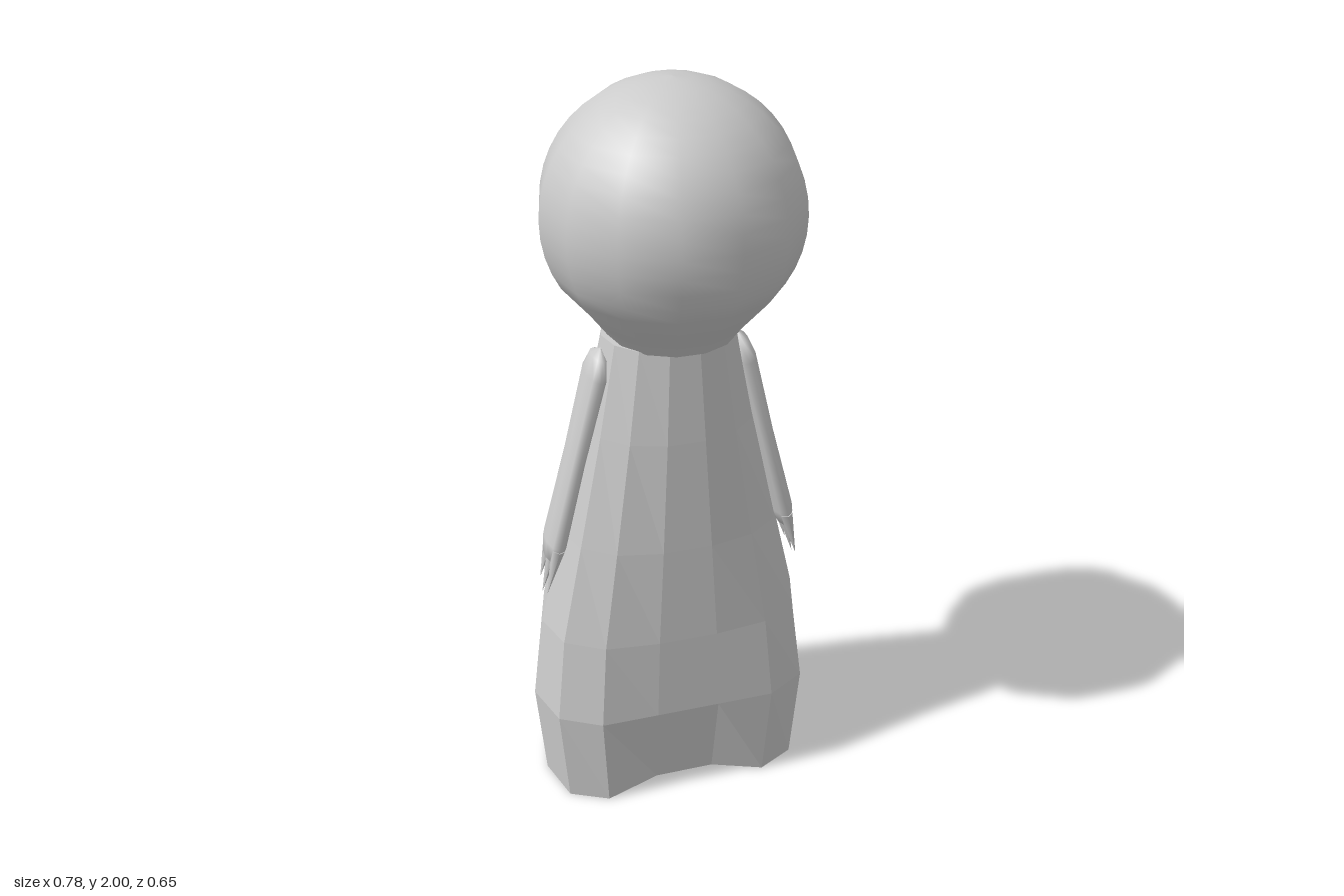
import * as THREE from 'three';

const SIDES = 14;
const HEAD = new THREE.Vector3(0.01, 1.67, 0);
const HEAD_R = 0.33;

const smooth = new THREE.MeshStandardMaterial({ color: 0xcccccc });
const flat = new THREE.MeshStandardMaterial({ color: 0xcccccc, flatShading: true });
const thin = new THREE.MeshStandardMaterial({ color: 0xcccccc, side: THREE.DoubleSide });

function part(name, geometry, material) {
  const mesh = new THREE.Mesh(geometry, material);
  mesh.name = name;
  return mesh;
}

// Tapering robe: stacked 14-sided rings, boxier and dented in front near the hem
function robeGeometry() {
  // y, half width, front depth, back depth, front dent
  const rings = [
    [0.0, 0.365, 0.21, 0.27, 0.78],
    [0.28, 0.39, 0.23, 0.28, 0.87],
    [0.52, 0.36, 0.21, 0.28, 0.93],
    [0.8, 0.295, 0.19, 0.235, 0.97],
    [1.11, 0.225, 0.168, 0.175, 1],
    [1.36, 0.175, 0.15, 0.135, 1],
  ];
  const pos = [], idx = [];
  rings.forEach(([y, w, front, back, dent], j) => {
    const k = j / (rings.length - 1);
    for (let i = 0; i < SIDES; i++) {
      const a = (i / SIDES) * Math.PI * 2, s = Math.sin(a);
      const centre = s > 0.9;
      const power = THREE.MathUtils.lerp(s > 0 ? 0.55 : 0.8, 1, k);
      let z = Math.sign(s) * Math.abs(s) ** power * (s > 0 ? front : back);
      if (centre) z *= dent;
      pos.push(w * Math.cos(a), j === 0 && centre ? 0.03 : y, z);
    }
  });
  for (let j = 0; j < rings.length - 1; j++) {
    for (let i = 0; i < SIDES; i++) {
      const n = (i + 1) % SIDES, a = j * SIDES + i, b = j * SIDES + n;
      idx.push(a, a + SIDES, b + SIDES, a, b + SIDES, b);
    }
  }
  // end caps
  const low = pos.length / 3, last = (rings.length - 1) * SIDES;
  pos.push(0, 0, 0, 0, 1.36, 0);
  for (let i = 0; i < SIDES; i++) {
    const n = (i + 1) % SIDES;
    idx.push(low, i, n, low + 1, last + n, last + i);
  }
  const g = new THREE.BufferGeometry();
  g.setAttribute('position', new THREE.Float32BufferAttribute(pos, 3));
  g.setIndex(idx);
  g.computeVertexNormals();
  return g;
}

// Round head that runs down into a short flared neck
function headGeometry() {
  const profile = [new THREE.Vector2(0.165, 1.355 - HEAD.y), new THREE.Vector2(0.21, 1.415 - HEAD.y)];
  const start = -0.69, steps = 16;
  for (let i = 1; i <= steps; i++) {
    const t = THREE.MathUtils.lerp(start, Math.PI / 2, i / steps);
    profile.push(new THREE.Vector2(Math.max(0, HEAD_R * Math.cos(t)), HEAD_R * Math.sin(t)));
  }
  return new THREE.LatheGeometry(profile, SIDES, Math.PI / 2);
}

// Smile: a crescent sheet wrapped over the head, its rim sunk into the surface
function mouthGeometry() {
  const g = new THREE.PlaneGeometry(2, 1, 20, 6);
  const p = g.attributes.position;
  for (let i = 0; i < p.count; i++) {
    const u = p.getX(i), v = p.getY(i) + 0.5;
    const top = -0.075 + 0.03 * u * u;
    const bottom = -0.205 + 0.16 * (1 - Math.sqrt(1 - u * u));
    const x = -0.19 * u, y = THREE.MathUtils.lerp(bottom, top, v);
    const rim = Math.abs(u) > 0.99 || v < 0.01 || v > 0.99;
    const r = rim ? 0.318 : 0.338;
    p.setXYZ(i, x, y, -Math.sqrt(r * r - x * x - y * y));
  }
  g.computeVertexNormals();
  return g;
}

// Flattened arm hanging along the robe, ending in three pointed fingers
function makeArm(side) {
  const arm = new THREE.Group();
  arm.name = side > 0 ? 'leftArm' : 'rightArm';
  const profile = [[0, -0.3], [0.045, -0.3], [0.066, -0.25], [0.06, 0], [0.066, 0.24], [0.045, 0.29], [0, 0.31]]
    .map(([r, y]) => new THREE.Vector2(r, y));
  const sleeve = part('sleeve', new THREE.LatheGeometry(profile, 10), smooth);
  sleeve.scale.x = 0.45;
  arm.add(sleeve);
  for (const [z, length] of [[0.042, 0.14], [0, 0.16], [-0.045, 0.14]]) {
    const finger = part('finger', new THREE.ConeGeometry(0.023, length, 6), smooth);
    finger.rotation.x = Math.PI;
    finger.position.set(0, -0.26 - length / 2, z);
    finger.scale.x = 0.8;
    arm.add(finger);
  }
  arm.position.set(side * 0.255, 1.03, 0.01);
  arm.rotation.z = side * 0.245;
  return arm;
}

export function createModel() {
  const model = new THREE.Group();
  model.name = 'figure';
  model.add(part('robe', robeGeometry(), flat));

  const head = new THREE.Group();
  head.name = 'head';
  head.position.copy(HEAD);
  head.add(part('skull', headGeometry(), smooth), part('mouth', mouthGeometry(), thin));

  // Lens-shaped eyes lying on the head
  for (const side of [-1, 1]) {
    const eye = part(side > 0 ? 'leftEye' : 'rightEye', new THREE.SphereGeometry(0.085, 20, 12), smooth);
    const out = new THREE.Vector3(side * 0.165, 0.085, -0.26).normalize();
    eye.position.copy(out).multiplyScalar(0.317);
    eye.quaternion.setFromUnitVectors(new THREE.Vector3(0, 0, -1), out);
    eye.scale.z = 0.3;
    head.add(eye);
  }
  model.add(head, makeArm(1), makeArm(-1));
  return model;
}
